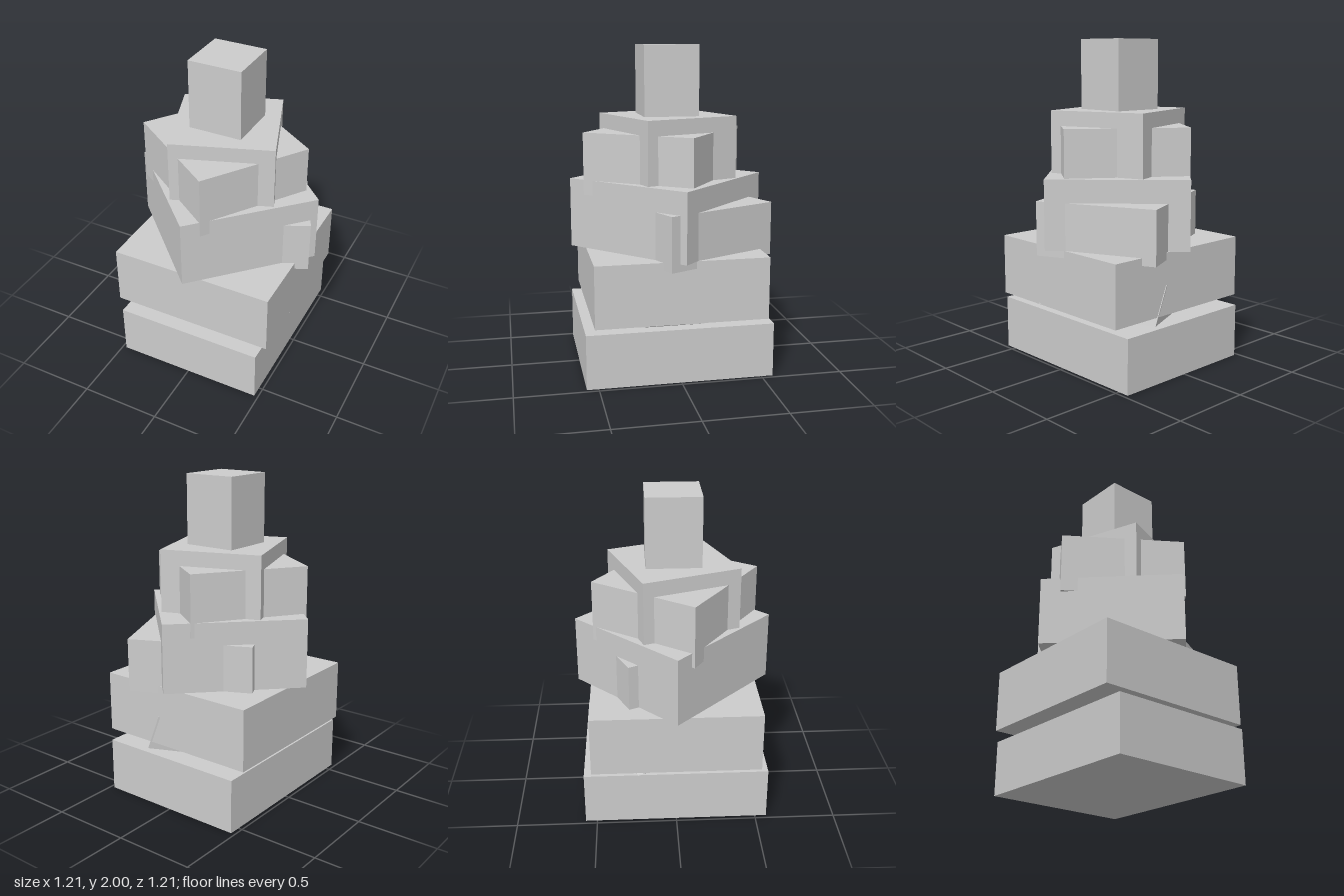
import * as THREE from 'three';

export function createModel() {
  const model = new THREE.Group();
  const stone = new THREE.MeshStandardMaterial({ color: 0xcccccc });
  stone.name = 'paleGrey';

  // One block: [width, height, depth], centre, turn about y, then lean about z
  function block(name, size, centre, turn = 0, lean = 0) {
    const mesh = new THREE.Mesh(new THREE.BoxGeometry(...size), stone);
    mesh.name = name;
    mesh.position.set(...centre);
    mesh.rotation.set(0, turn, lean, 'ZYX');
    model.add(mesh);
  }

  // Base, and the leaning block wedged in the gap above it
  block('baseBlock', [0.95, 0.335, 1.144], [0, 0.1675, 0]);
  block('wedgedBlock', [0.7, 0.32, 0.76], [0.025, 0.36, -0.036], 0.43, 0.38);

  // Lower tiers
  block('secondBlock', [1.046, 0.38, 1.046], [0, 0.575, 0]);
  block('offsetBlock', [0.76, 0.33, 0.756], [0.095, 0.885, -0.0975], 0.434);
  block('diamondBlock', [0.856, 0.425, 0.856], [0, 0.9775, 0], Math.PI / 4);

  // Upper tiers, each turned differently
  block('upperOffsetBlock', [0.755, 0.38, 0.72], [-0.015, 1.29, 0.02], -0.607);
  block('upperBlock', [0.62, 0.385, 0.62], [0, 1.38, 0], 0.345);

  // Upright block at the top
  block('topBlock', [0.335, 0.43, 0.335], [0, 1.785, 0]);

  return model;
}
